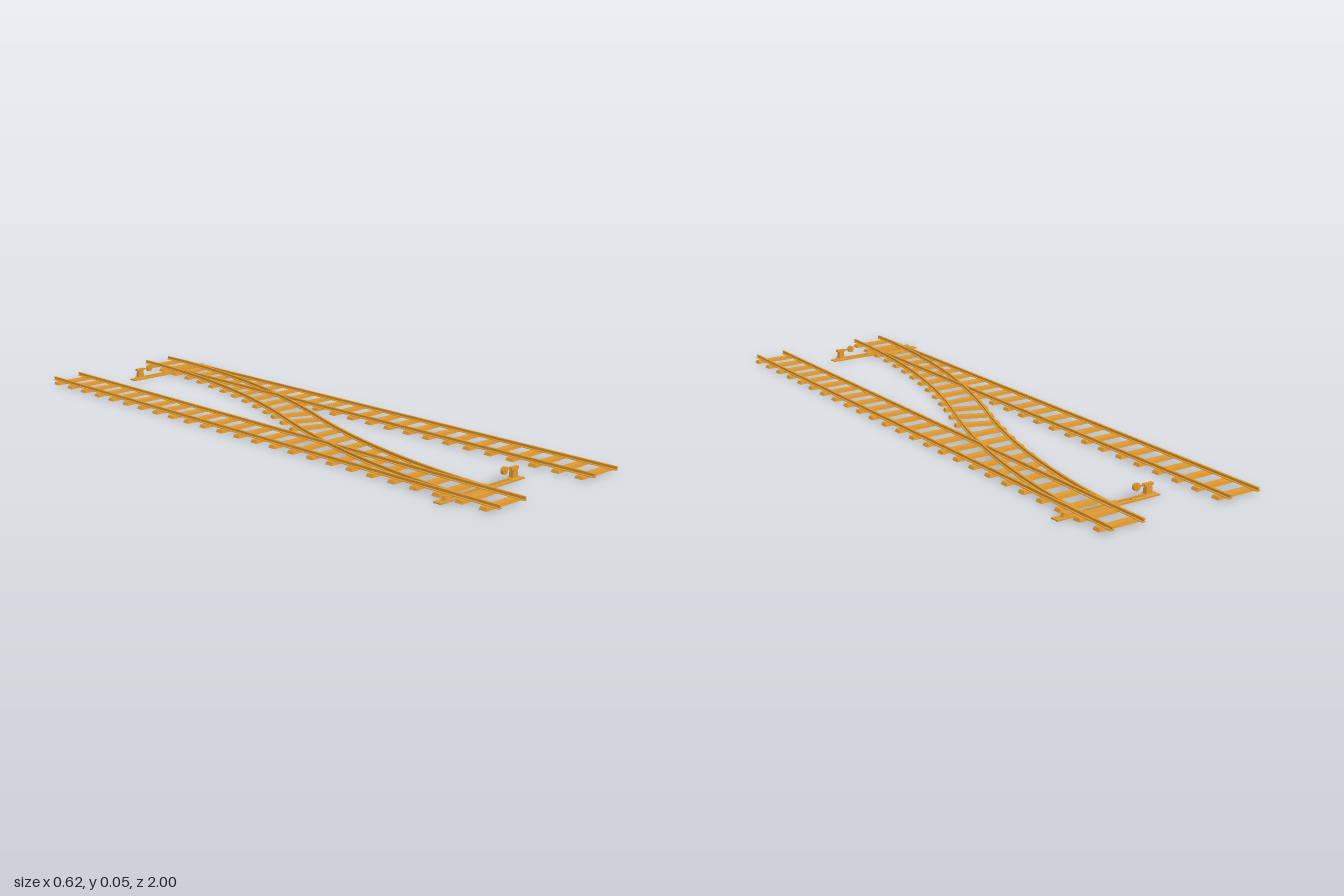
import * as THREE from 'three';

const material = new THREE.MeshStandardMaterial({ color: 0xe0992f, flatShading: true });
const TRACK = 0.2;      // track centre offset
const GAUGE = 0.051;    // half gauge
const RADIUS = 2.6;     // crossover curve radius

function add(parent, name, geometry, x = 0, y = 0, z = 0) {
  const mesh = new THREE.Mesh(geometry, material);
  mesh.name = name;
  mesh.position.set(x, y, z);
  parent.add(mesh);
  return mesh;
}

// Box standing on y = 0 whose top is narrowed by an inset on each side
function taperedBox(w, h, d, inset) {
  const g = new THREE.BoxGeometry(w, h, d).translate(0, h / 2, 0);
  const p = g.attributes.position;
  for (let i = 0; i < p.count; i++) {
    if (p.getY(i) < h / 2) continue;
    p.setX(i, p.getX(i) - Math.sign(p.getX(i)) * inset);
    p.setZ(i, p.getZ(i) - Math.sign(p.getZ(i)) * inset * 0.5);
  }
  g.computeVertexNormals();
  return g;
}

// Flat-bottom rail section: foot, web and head
const half = [[0.0058, 0.011], [0.0058, 0.0125], [0.0015, 0.0138], [0.0015, 0.0175], [0.0034, 0.0185], [0.0034, 0.022]];
const railShape = new THREE.Shape([
  ...half.map(([x, y]) => new THREE.Vector2(x, y)),
  ...half.slice().reverse().map(([x, y]) => new THREE.Vector2(-x, y)),
]);

// Centre line of the S-shaped crossover at a given z
function crossover(z) {
  const run = 1 - Math.abs(z);
  const x = TRACK - RADIUS + Math.sqrt(RADIUS * RADIUS - run * run);
  return { x: z < 0 ? x : -x, angle: Math.asin(run / RADIUS) };
}

// Extrude the rail section and bend it along a line given as a function of z
function railGeometry(z0, z1, steps, offset, line) {
  const g = new THREE.ExtrudeGeometry(railShape, { depth: 1, steps, bevelEnabled: false });
  const p = g.attributes.position;
  for (let i = 0; i < p.count; i++) {
    const z = THREE.MathUtils.lerp(z0, z1, p.getZ(i));
    const { x, angle } = line(z);
    const u = offset + p.getX(i);
    p.setXYZ(i, x + u * Math.cos(angle), p.getY(i), z + u * Math.sin(angle));
  }
  g.computeVertexNormals();
  return g;
}

// Switch machine: two bearers, throw rod, stand and weighted lever
function switchMachine() {
  const g = new THREE.Group();
  g.name = 'switchMachine';
  for (const z of [-0.009, 0.009]) {
    add(g, 'bearer', new THREE.BoxGeometry(0.345, 0.004, 0.008), -0.139, 0.002, z);
  }
  for (const x of [-0.305, -0.21, -0.116, -0.05, 0.026]) {
    add(g, 'crossPiece', new THREE.BoxGeometry(0.012, 0.003, 0.018), x, 0.002, 0);
  }
  add(g, 'throwRod', new THREE.BoxGeometry(0.28, 0.003, 0.004), -0.14, 0.008, 0);
  add(g, 'endLock', taperedBox(0.022, 0.011, 0.016, 0.004), -0.277, 0.004, 0);
  add(g, 'rodGuide', taperedBox(0.024, 0.008, 0.016, 0.004), -0.116, 0.003, 0);
  add(g, 'standFoot', taperedBox(0.04, 0.006, 0.024, 0.006), 0, 0.003, 0);
  add(g, 'stand', taperedBox(0.022, 0.024, 0.016, 0.002), 0, 0.008, 0);
  add(g, 'standCap', new THREE.BoxGeometry(0.03, 0.007, 0.012), 0, 0.035, 0);
  add(g, 'lever', new THREE.BoxGeometry(0.04, 0.004, 0.004), -0.02, 0.035, 0);
  add(g, 'leverWeight', new THREE.CylinderGeometry(0.0115, 0.0115, 0.009, 16).rotateX(Math.PI / 2), -0.04, 0.035, 0);
  add(g, 'weightHub', new THREE.CylinderGeometry(0.003, 0.003, 0.016, 10).rotateX(Math.PI / 2), -0.04, 0.035, 0);
  return g;
}

// One straight track, the ties it shares with the crossover, and its switch
function trackHalf() {
  const g = new THREE.Group();
  g.name = 'straightTrack';
  for (const side of [-1, 1]) {
    add(g, 'rail', railGeometry(-1, 1, 1, side * GAUGE, () => ({ x: -TRACK, angle: 0 })));
  }
  for (let i = -12; i <= 12; i++) {
    const z = i * 0.08;
    const left = -0.273;
    let right = -0.129;
    // Long ties reach under the diverging rails
    if (i >= 2) right = Math.max(right, crossover(z).x + GAUGE / Math.cos(crossover(z).angle) + 0.022);
    add(g, 'tie', taperedBox(right - left, 0.009, 0.026, 0.004), (left + right) / 2, 0.002, z);
  }
  const machine = switchMachine();
  machine.position.z = 0.84;
  g.add(machine);
  return g;
}

export function createModel() {
  const model = new THREE.Group();
  model.name = 'railwayCrossover';

  // Two identical halves, turned half a revolution from each other
  for (const turn of [0, Math.PI]) {
    const track = trackHalf();
    track.rotation.y = turn;
    model.add(track);
  }

  // Curved rails linking the two tracks
  for (const side of [-1, 1]) {
    add(model, 'crossoverRail', railGeometry(-0.88, 0.88, 48, side * GAUGE, crossover));
  }
  // Slanted ties in the middle
  for (const z of [-0.077, 0, 0.077]) {
    const { x, angle } = crossover(z);
    add(model, 'crossoverTie', taperedBox(0.143, 0.009, 0.026, 0.004), x, 0.002, z).rotation.y = -angle;
  }
  return model;
}
